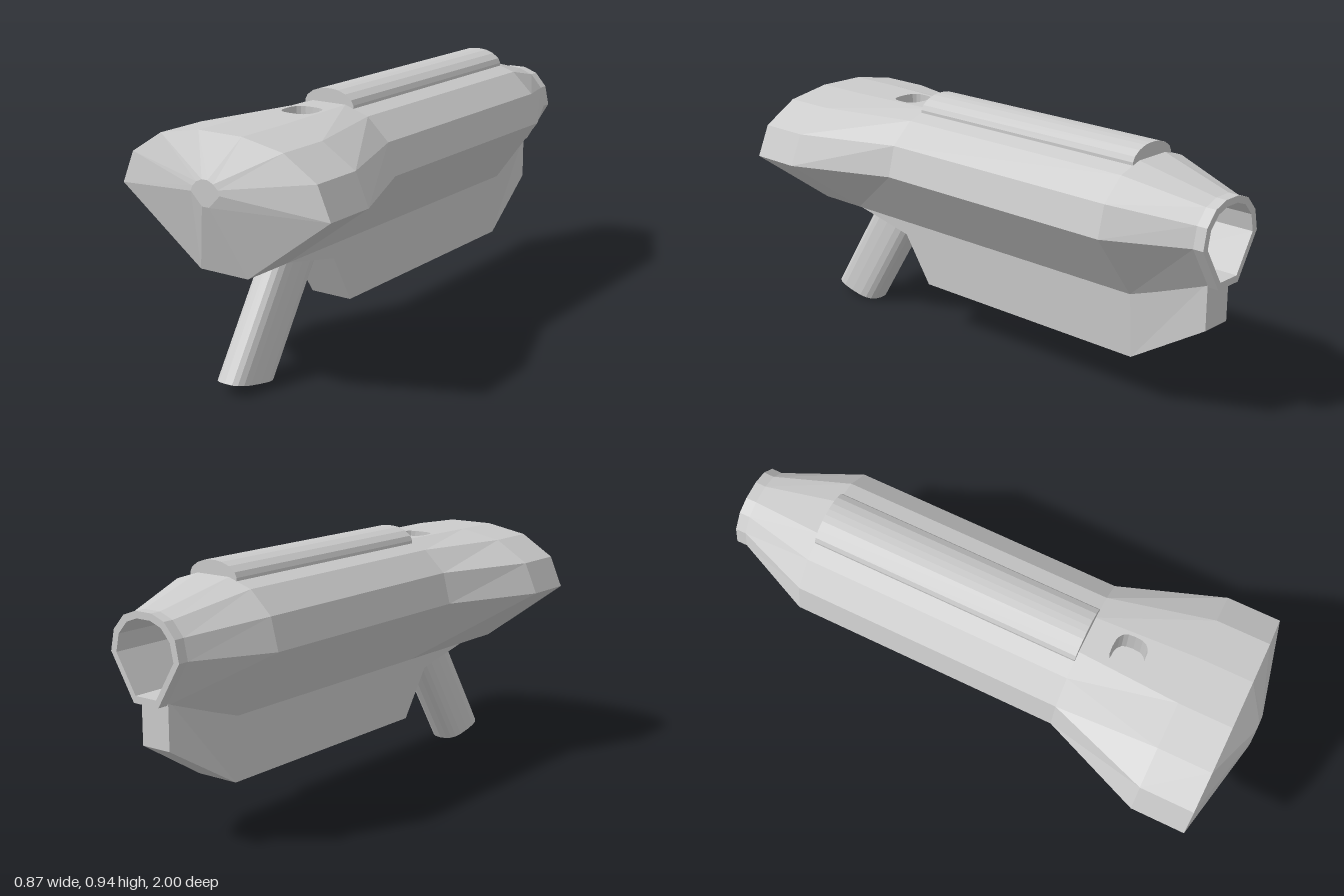
import * as THREE from 'three';

const material = new THREE.MeshStandardMaterial({ color: 0xcccccc, flatShading: true });
const V = (x, y, z) => new THREE.Vector3(x, y, z);

// Skin a list of rings; rings run counter-clockwise seen from the first one.
function loft(rings, { startCap = true, endCap = true, skip = () => false } = {}) {
  const tris = [];
  const n = rings[0].length;
  for (let i = 0; i < rings.length - 1; i++) {
    for (let j = 0; j < n; j++) {
      if (skip(i, j)) continue;
      const k = (j + 1) % n;
      const a = rings[i][j], b = rings[i][k], c = rings[i + 1][k], d = rings[i + 1][j];
      tris.push(a, d, c, a, c, b);
    }
  }
  const first = rings[0], last = rings[rings.length - 1];
  for (let j = 1; j < n - 1; j++) {
    if (startCap) tris.push(first[0], first[j], first[j + 1]);
    if (endCap) tris.push(last[0], last[j + 1], last[j]);
  }
  const geometry = new THREE.BufferGeometry().setFromPoints(tris);
  geometry.computeVertexNormals();
  return geometry;
}

// Mirror the right half of a section (bottom to top) into a closed ring.
function section(z, half) {
  const right = half.map(([x, y]) => V(x, y, z));
  const left = half.map(([x, y]) => V(-x, y, z)).reverse();
  return [...right, ...left];
}

// Rounded-square outline, exponent below 1 squares it off.
function roundedLoop(count, power, place) {
  return Array.from({ length: count }, (_, i) => {
    const t = (i / count) * Math.PI * 2;
    const round = (v) => Math.sign(v) * Math.pow(Math.abs(v), power);
    return place(round(Math.cos(t)), round(Math.sin(t)));
  });
}

export function createModel() {
  const model = new THREE.Group();
  const add = (name, geometry) => {
    const mesh = new THREE.Mesh(geometry, material);
    mesh.name = name;
    model.add(mesh);
    return mesh;
  };

  // Body: flared nose, straight barrel, tapered tail with an open bore
  const tip = [[0.015, 0.675], [0.06, 0.72], [0.053, 0.738], [0.035, 0.755], [0.012, 0.765]];
  const wide = [[0.1, 0.43], [0.435, 0.675], [0.385, 0.79], [0.255, 0.87], [0.09, 0.9]];
  const barrel = [[0.1, 0.43], [0.28, 0.675], [0.25, 0.79], [0.165, 0.87], [0.07, 0.9]];
  const tail = [[0.055, 0.52], [0.152, 0.68], [0.136, 0.755], [0.09, 0.807], [0.035, 0.827]];
  const bore = tail.map(([x, y]) => [x * 0.84, 0.675 + (y - 0.675) * 0.84]);
  const rings = [
    section(1, tip), section(0.92, wide), section(0.72, wide), section(0.34, barrel),
    section(-0.67, barrel), section(-0.96, tail), section(-1, tail),
    section(-1, bore), section(-0.68, bore),
  ];
  add('body', loft(rings, { skip: (i, j) => i === 2 && j === 4 }));

  // Top panel between nose and barrel, pierced by the well
  const panel = new THREE.Shape([[-0.09, -0.72], [0.09, -0.72], [0.07, -0.34], [-0.07, -0.34]]
    .map(([x, y]) => new THREE.Vector2(x, y)));
  const rim = (y) => roundedLoop(20, 0.7, (c, s) => V(c * 0.065, y, 0.495 + s * 0.06));
  panel.holes.push(new THREE.Path(rim(0).map((p) => new THREE.Vector2(p.x, -p.z))));
  add('topPanel', new THREE.ShapeGeometry(panel).rotateX(-Math.PI / 2).translate(0, 0.9, 0));
  add('topWell', loft([rim(0.9), rim(0.78)], { startCap: false }));

  // Rounded rail along the top
  const railHalf = [[0.104, 0.885], [0.104, 0.9], [0.095, 0.918], [0.07, 0.936], [0.038, 0.947], [0.012, 0.95]];
  add('topRail', loft([section(0.34, railHalf), section(-0.67, railHalf)]));

  // Keel: side profile extruded across x, narrowing downward and at the tail
  const keelShape = new THREE.Shape([
    [0.72, 0.45], [0.72, 0.432], [0.45, 0.375], [0.34, 0.19], [-0.67, 0.19],
    [-0.96, 0.365], [-0.96, 0.54], [-0.67, 0.45],
  ].map(([z, y]) => new THREE.Vector2(-z, y)));
  const keel = new THREE.ExtrudeGeometry(keelShape, { depth: 2, bevelEnabled: false });
  keel.translate(0, 0, -1).rotateY(Math.PI / 2);
  const p = keel.attributes.position;
  for (let i = 0; i < p.count; i++) {
    const half = p.getZ(i) < -0.9 ? 0.06
      : THREE.MathUtils.mapLinear(p.getY(i), 0.19, 0.43, 0.084, 0.098);
    p.setX(i, Math.sign(p.getX(i)) * half);
  }
  keel.computeVertexNormals();
  add('keel', keel);

  // Slanted grip with sheared ends
  const gripRing = (y, z) => roundedLoop(20, 0.7, (c, s) => V(c * 0.064, y - s * 0.0225, z - s * 0.108));
  add('grip', loft([gripRing(0.5, 0.52), gripRing(0.0275, 0.8275)]));

  return model;
}
